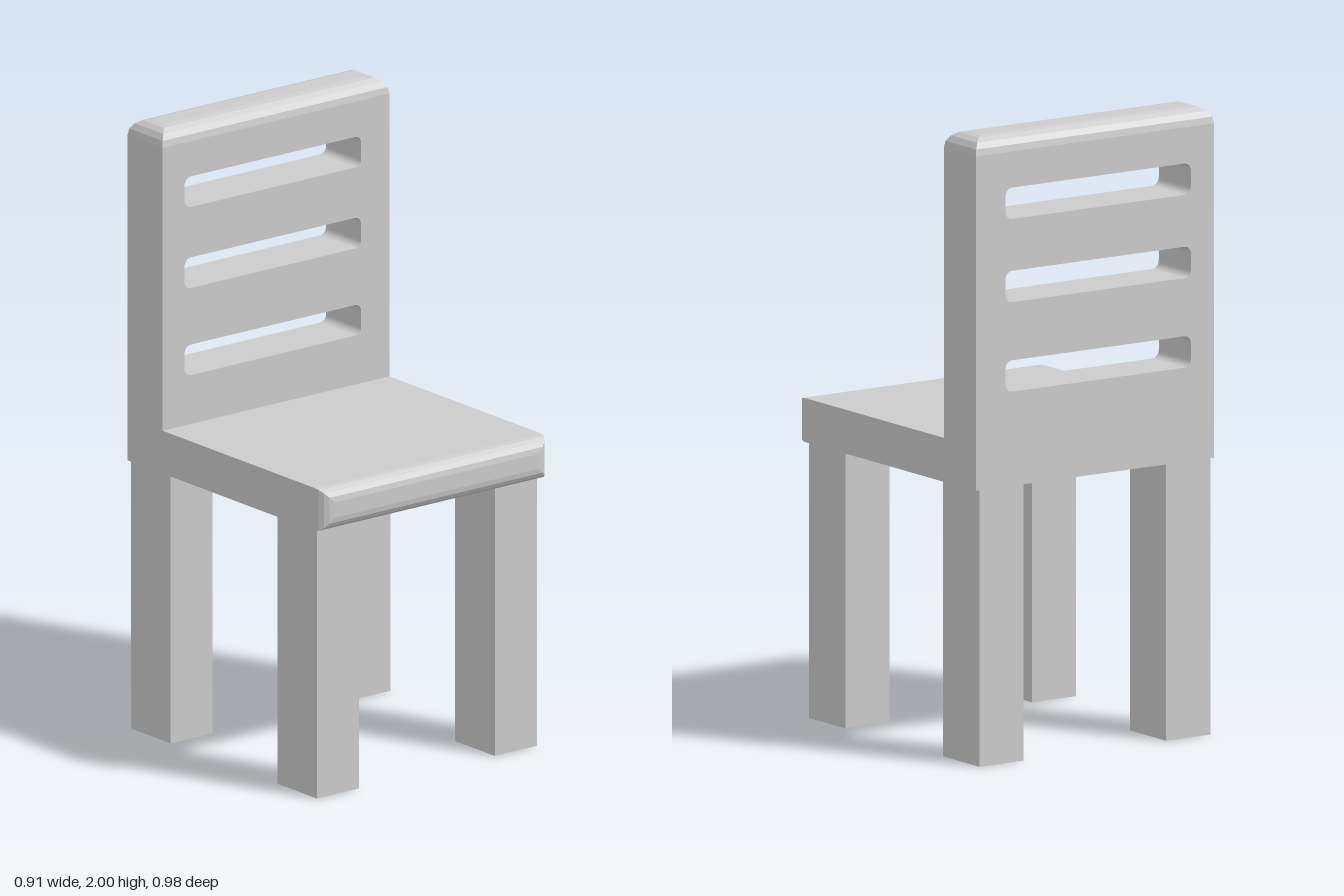
import * as THREE from 'three';

const material = new THREE.MeshStandardMaterial({ color: 0xcccccc, flatShading: true });

// Slab standing on y = 0 whose top end is rounded on all four edges, with mitred corners
function roundedEndSlab(width, height, depth, radius, steps = 4) {
  const rows = steps + 1;
  const geometry = new THREE.BoxGeometry(width, height, depth, 1, rows, 1);
  const pos = geometry.attributes.position;
  for (let i = 0; i < pos.count; i++) {
    const row = Math.round((pos.getY(i) / height + 0.5) * rows);
    const angle = (Math.max(row - 1, 0) / steps) * Math.PI / 2;
    const inset = radius * (1 - Math.cos(angle));
    const y = row === 0 ? 0 : height - radius + radius * Math.sin(angle);
    const x = pos.getX(i), z = pos.getZ(i);
    pos.setXYZ(i, x - Math.sign(x) * inset, y, z - Math.sign(z) * inset);
  }
  geometry.computeVertexNormals();
  return geometry;
}

// Horizontal slot with rounded corners
function slotPath(x0, x1, y0, y1, r) {
  const p = new THREE.Path();
  p.absarc(x0 + r, y0 + r, r, Math.PI, Math.PI * 1.5);
  p.absarc(x1 - r, y0 + r, r, Math.PI * 1.5, Math.PI * 2);
  p.absarc(x1 - r, y1 - r, r, 0, Math.PI / 2);
  p.absarc(x0 + r, y1 - r, r, Math.PI / 2, Math.PI);
  p.closePath();
  return p;
}

export function createModel() {
  const chair = new THREE.Group();
  chair.name = 'chair';

  function add(name, geometry, x, y, z, parent = chair) {
    const mesh = new THREE.Mesh(geometry, material);
    mesh.name = name;
    mesh.position.set(x, y, z);
    parent.add(mesh);
    return mesh;
  }

  const halfWidth = 0.453, back = -0.49, seatTop = 1.02;

  // Seat: slab laid down with its rounded end to the front
  const seat = roundedEndSlab(halfWidth * 2, 0.98, 0.14, 0.045);
  seat.rotateX(Math.PI / 2);
  add('seat', seat, 0, 0.95, back);

  // Backrest: slotted panel with a rounded top rail
  const backrest = new THREE.Group();
  backrest.name = 'backrest';
  chair.add(backrest);
  const thickness = 0.175, railBottom = 1.9;
  const panel = new THREE.Shape([
    new THREE.Vector2(-halfWidth, seatTop), new THREE.Vector2(halfWidth, seatTop),
    new THREE.Vector2(halfWidth, railBottom), new THREE.Vector2(-halfWidth, railBottom),
  ]);
  for (const bottom of [1.18, 1.465, 1.73]) {
    panel.holes.push(slotPath(-0.365, 0.34, bottom, bottom + 0.1, 0.025));
  }
  const panelGeometry = new THREE.ExtrudeGeometry(panel, {
    depth: thickness, bevelEnabled: false, curveSegments: 4,
  });
  add('backPanel', panelGeometry, 0, 0, back, backrest);
  const rail = roundedEndSlab(halfWidth * 2, 2 - railBottom, thickness, 0.055);
  add('topRail', rail, 0, railBottom, back + thickness / 2, backrest);

  // Legs: four square posts, the back pair flush with the backrest
  const legGeometry = new THREE.BoxGeometry(0.168, 0.88, 0.198);
  for (const [side, x] of [['Left', 0.355], ['Right', -0.355]]) {
    add(`front${side}Leg`, legGeometry, x, 0.44, 0.341);
    add(`back${side}Leg`, legGeometry, x, 0.44, -0.391);
  }

  return chair;
}
